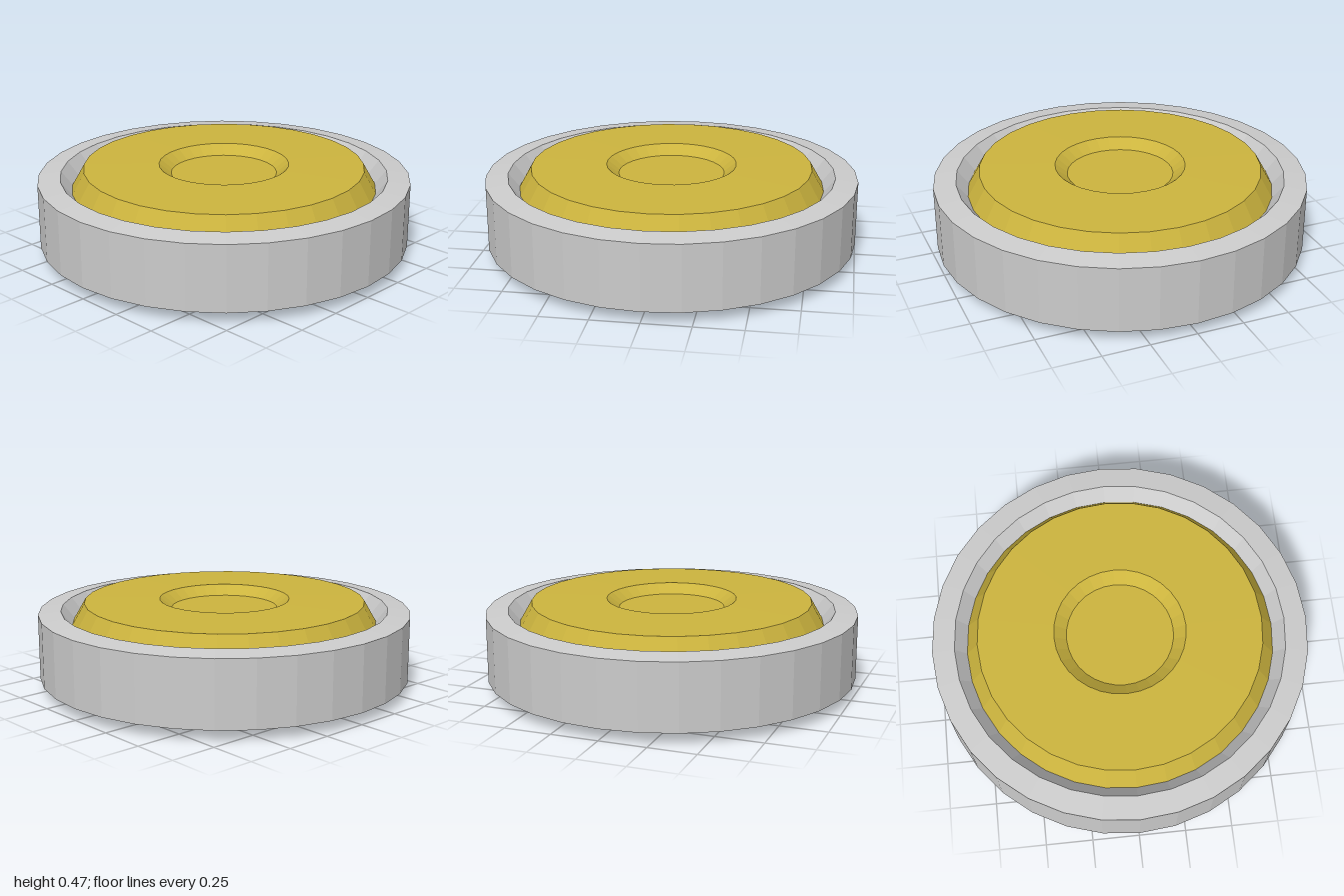
import * as THREE from 'three';

const SIDES = 32;
const HEIGHT = 0.47;

// Mirrors an upper half profile (outside to inside) to the underside and turns it about y.
function turned(name, upper, material) {
  const lower = upper.map(([r, y]) => [r, HEIGHT - y]).reverse();
  const points = [...lower, ...upper].map(([r, y]) => new THREE.Vector2(r, y));
  const mesh = new THREE.Mesh(new THREE.LatheGeometry(points, SIDES), material);
  mesh.name = name;
  return mesh;
}

export function createModel() {
  const model = new THREE.Group();
  model.name = 'wheel';

  const grey = new THREE.MeshStandardMaterial({ color: 0xcccccc, flatShading: true });
  const gold = new THREE.MeshStandardMaterial({ color: 0xccb43e, flatShading: true });

  // Tyre: straight tread, gently sloped side faces, bevel falling in to the hub
  model.add(turned('tyre', [[1, 0.41], [0.88, 0.425], [0.82, 0.35]], grey));

  // Hub: bevelled disc with a round recess in the middle of each face
  model.add(turned('hub', [[0.82, 0.35], [0.755, 0.463], [0.35, 0.47], [0.285, 0.42], [0, 0.42]], gold));

  return model;
}
